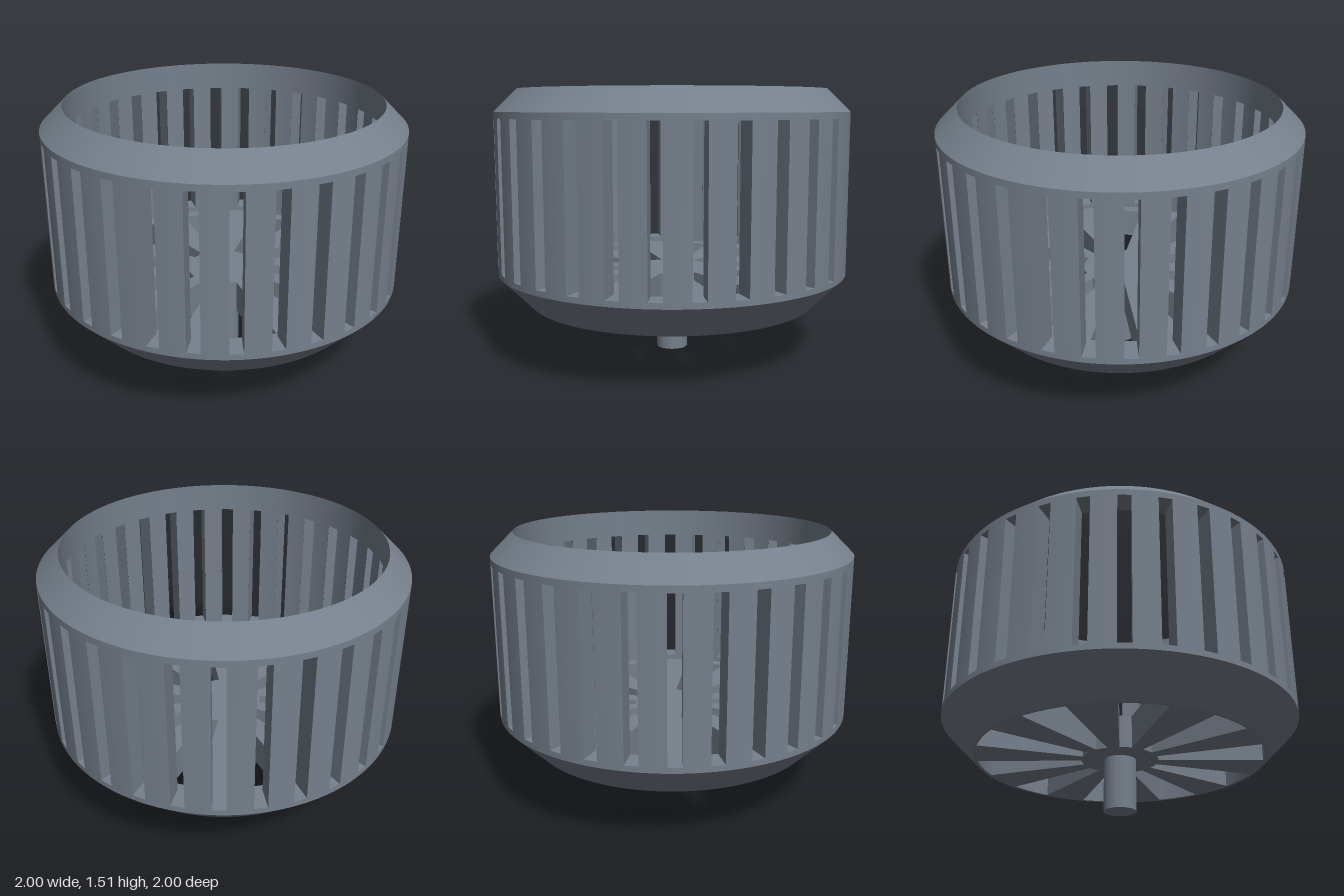
import * as THREE from 'three';
import { mergeGeometries } from 'three/addons/utils/BufferGeometryUtils.js';

const rad = THREE.MathUtils.degToRad;
const material = new THREE.MeshStandardMaterial({ color: 0x76808c });

// Sharp-edged surface of revolution: each [radius, y] segment is its own smooth band.
// Angles are in degrees, measured from +z towards +x.
function revolve(profile, start = 0, length = 360) {
  const bands = [];
  for (let i = 0; i + 1 < profile.length; i++) {
    const points = [profile[i], profile[i + 1]].map(([r, y]) => new THREE.Vector2(r, y));
    bands.push(new THREE.LatheGeometry(points, Math.ceil(length / 2), rad(start), rad(length)));
  }
  return bands;
}

// Upright face along a radius, moved sideways by half an opening's width.
// Side +1 looks along growing angle, -1 the other way.
function sideFace(r0, r1, y0, y1, angle, side, shift = 0) {
  const face = new THREE.PlaneGeometry(r1 - r0, y1 - y0);
  if (side > 0) face.rotateY(Math.PI);
  return face.translate((r0 + r1) / 2, (y0 + y1) / 2, side * shift).rotateY(rad(angle - 90));
}

// Wall pierced by straight, parallel-sided slots
function slottedWall(r0, r1, y0, y1, count, width) {
  const parts = [];
  const step = 360 / count;
  const span = r => THREE.MathUtils.radToDeg(2 * Math.asin(width / 2 / r));
  const outerSpan = span(r1), innerSpan = span(r0);
  for (let i = 0; i < count; i++) {
    const mid = 92 + i * step;
    parts.push(
      ...revolve([[r1, y0], [r1, y1]], mid + outerSpan / 2, step - outerSpan),
      ...revolve([[r0, y1], [r0, y0]], mid + innerSpan / 2, step - innerSpan),
      ...revolve([[r0, y1], [r1, y1]], mid - innerSpan / 2, innerSpan),
      ...revolve([[r1, y0], [r0, y0]], mid - innerSpan / 2, innerSpan),
      sideFace(r0, r1, y0, y1, mid, -1, width / 2),
      sideFace(r0, r1, y0, y1, mid, 1, width / 2),
    );
  }
  return parts;
}

// Floor of wedge-shaped spokes with equal wedge-shaped openings
function spokedFloor(r0, r1, y0, y1, count) {
  const parts = [];
  const half = 180 / count;
  for (let i = 0; i < count; i++) {
    const from = 90 + i * 2 * half;
    const to = from + half;
    parts.push(
      ...revolve([[r1, y1], [r0, y1]], to, half),
      ...revolve([[r0, y0], [r1, y0]], to, half),
      ...revolve([[r1, y1], [r1, y0]], from, half),
      ...revolve([[r0, y0], [r0, y1]], from, half),
      sideFace(r0, r1, y0, y1, to, -1),
      sideFace(r0, r1, y0, y1, from, 1),
    );
  }
  return parts;
}

function addMesh(group, name, parts) {
  const mesh = new THREE.Mesh(mergeGeometries(parts), material);
  mesh.name = name;
  group.add(mesh);
}

export function createModel() {
  const group = new THREE.Group();
  group.name = 'slottedBasket';

  const outer = 1, inner = 0.873, base = 0.82;
  const hub = 0.215, stem = 0.09, spokeEnd = 0.8;
  const floorBottom = 0.295, floorTop = 0.477, slotBottom = 0.508;
  const slotTop = 1.347, shoulder = 1.382, top = 1.507;

  // Bevelled rim above the slots
  addMesh(group, 'topRim', revolve([
    [outer, slotTop], [outer, shoulder], [inner, top], [inner, slotTop],
  ]));

  // Wall with thirty narrow upright slots
  addMesh(group, 'slottedWall', slottedWall(inner, outer, slotBottom, slotTop, 30, 0.072));

  // Bevelled lower ring carrying the edge of the floor
  addMesh(group, 'lowerRing', [
    ...revolve([[spokeEnd, floorBottom], [base, floorBottom], [outer, floorTop], [outer, slotBottom]]),
    ...revolve([[inner, slotBottom], [inner, floorTop], [spokeEnd, floorTop]]),
  ]);

  // Thick floor with ten openings
  addMesh(group, 'floorSpokes', spokedFloor(hub, spokeEnd, floorBottom, floorTop, 10));

  // Hub discs
  addMesh(group, 'hub', [
    ...revolve([[hub, floorTop], [0, floorTop]]),
    ...revolve([[stem, floorBottom], [hub, floorBottom]]),
  ]);

  // Round stem under the hub
  addMesh(group, 'stem', revolve([[0, 0], [stem, 0], [stem, floorBottom]]));

  return group;
}
